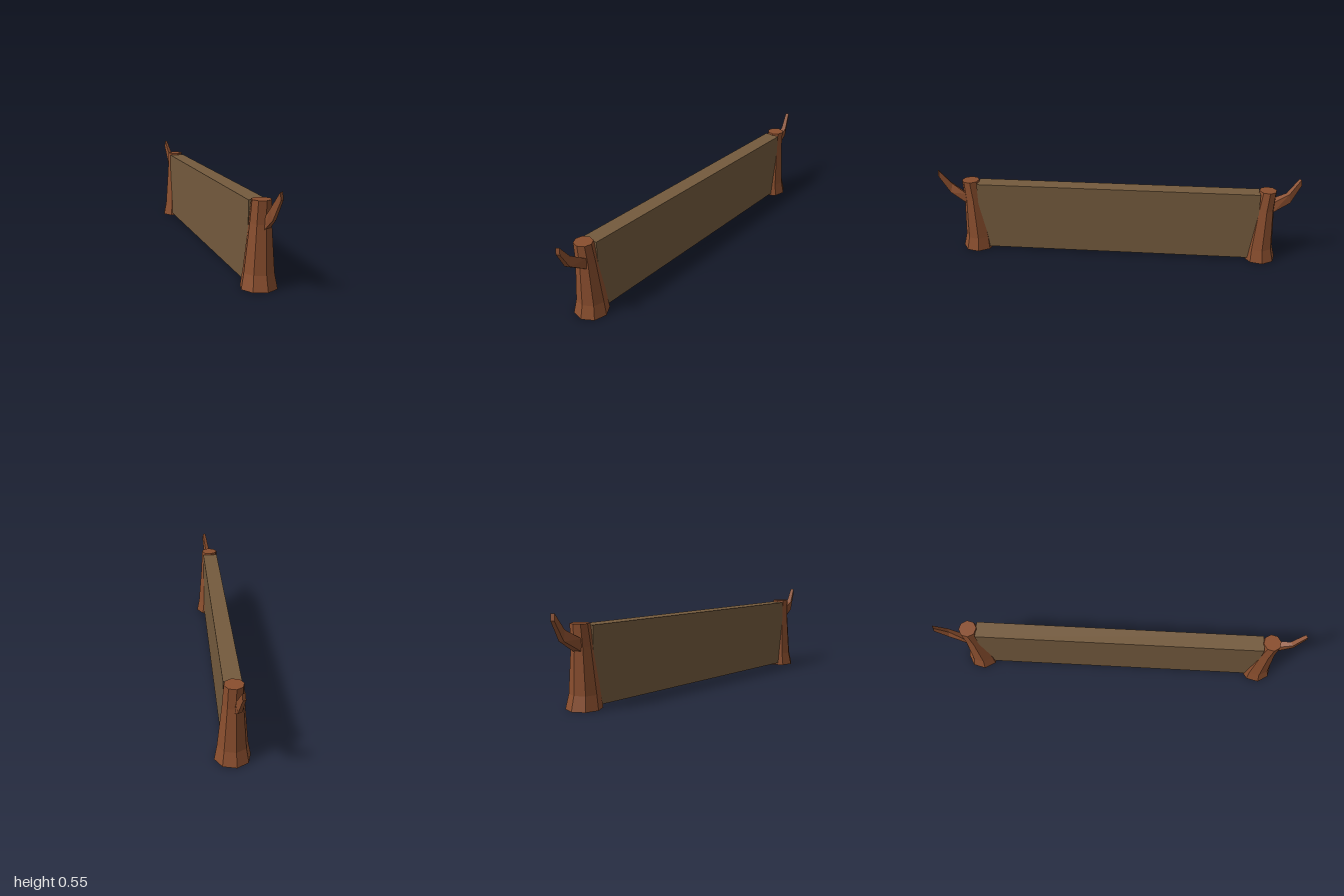
import * as THREE from 'three';

// Skins a list of equal-sized point loops and caps both ends (flat facets)
function loft(sections) {
  const pos = [];
  const n = sections[0].length;
  const tri = (a, b, c) => pos.push(...a, ...b, ...c);
  for (let i = 0; i < sections.length - 1; i++) {
    for (let j = 0; j < n; j++) {
      const k = (j + 1) % n;
      const [s, t] = [sections[i], sections[i + 1]];
      tri(s[j], t[j], t[k]);
      tri(s[j], t[k], s[k]);
    }
  }
  const first = sections[0], last = sections[sections.length - 1];
  for (let j = 1; j < n - 1; j++) {
    tri(first[0], first[j], first[j + 1]);
    tri(last[0], last[j + 1], last[j]);
  }
  const g = new THREE.BufferGeometry();
  g.setAttribute('position', new THREE.Float32BufferAttribute(pos, 3));
  g.computeVertexNormals();
  return g;
}

// Octagonal ring of a trunk
function ring([x, y, z, r]) {
  return Array.from({ length: 8 }, (_, i) => {
    const a = (i + 0.5) * Math.PI / 4;
    return [x + r * Math.cos(a), y, z + r * Math.sin(a)];
  });
}

// Four-sided branch section: x range, lower (y, z), upper (y, z)
function branchSection([x0, x1, yl, zl, yu, zu]) {
  return [[x0, yl, zl], [x0, yu, zu], [x1, yu, zu], [x1, yl, zl]];
}

export function createModel() {
  const model = new THREE.Group();
  model.name = 'woodenBarrier';

  const bark = new THREE.MeshStandardMaterial({ color: 0x8a4e2e, flatShading: true });
  bark.name = 'bark brown';
  const plank = new THREE.MeshStandardMaterial({ color: 0x745a3d, flatShading: true });
  plank.name = 'plank brown';

  // Long wall set diagonally between the posts
  const wall = new THREE.Mesh(new THREE.BoxGeometry(1.8, 0.448, 0.1), plank);
  wall.name = 'wall';
  wall.position.y = 0.239;
  wall.rotation.y = Math.atan2(0.77, 0.4675);
  model.add(wall);

  // Flared trunk, x, y, z and radius of each ring
  const trunkGeo = loft([
    [-0.483, 0, 0.797, 0.103],
    [-0.48, 0.085, 0.792, 0.087],
    [-0.484, 0.35, 0.802, 0.062],
    [-0.49, 0.475, 0.813, 0.055],
  ].map(ring));

  // Bent branch stub
  const branchGeo = loft([
    [-0.515, -0.45, 0.29, 0.81, 0.365, 0.82],
    [-0.513, -0.464, 0.322, 0.852, 0.395, 0.857],
    [-0.562, -0.533, 0.392, 0.94, 0.452, 0.924],
    [-0.578, -0.557, 0.505, 1.0, 0.545, 0.994],
  ].map(branchSection));

  // Same post at both ends, turned half a circle
  for (const [name, turn] of [['frontPost', 0], ['backPost', Math.PI]]) {
    const post = new THREE.Group();
    post.name = name;
    const trunk = new THREE.Mesh(trunkGeo, bark);
    trunk.name = 'trunk';
    const branch = new THREE.Mesh(branchGeo, bark);
    branch.name = 'branch';
    post.add(trunk, branch);
    post.rotation.y = turn;
    model.add(post);
  }
  return model;
}
